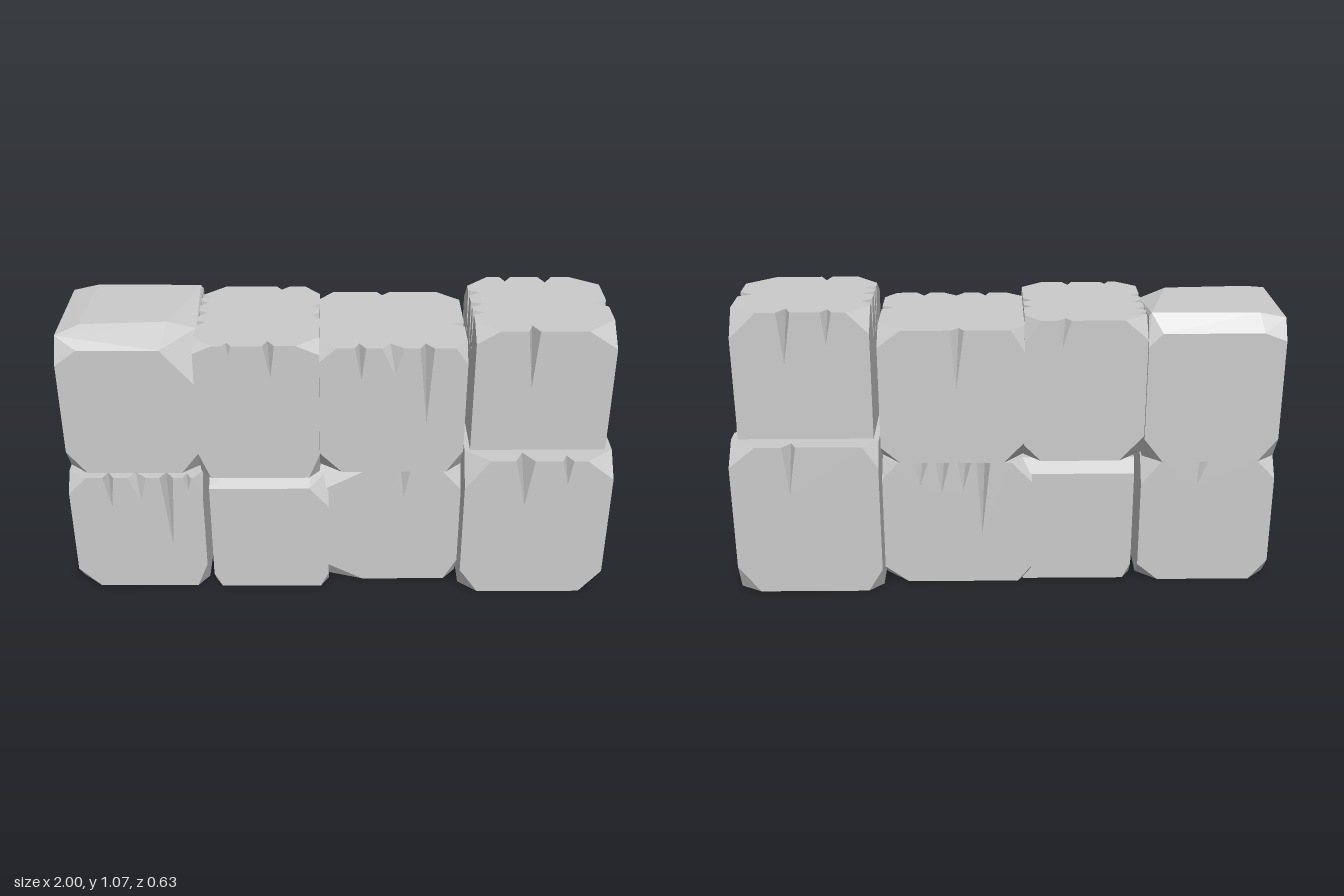
import * as THREE from 'three';
import { ConvexGeometry } from 'three/addons/geometries/ConvexGeometry.js';

const material = () => new THREE.MeshStandardMaterial({ color: 0xcccccc, flatShading: true });
const SIDES = { front: [2, 1], back: [2, -1], right: [0, 1], left: [0, -1] };

// Corner keys: x side (- / +), y side, z side, e.g. '++-'
const keyOf = (s) => s.map((v) => (v > 0 ? '+' : '-')).join('');

// Box with chipped corners and V-shaped cracks running down from the top edges.
// cracks: [side, position along edge, width, tip height, inset into top]
function chippedBlock(name, lo, hi, seed, cuts, cracks) {
  const pos = [];
  let state = seed;
  const rand = () => (state = (state * 16807) % 2147483647) / 2147483647;
  for (let i = 0; i < 5; i++) rand();

  // Triangle turned so that its normal agrees with a given direction
  const tri = (a, b, c, dir) => {
    const n = b.clone().sub(a).cross(c.clone().sub(a));
    const order = n.dot(dir) < 0 ? [a, c, b] : [a, b, c];
    order.forEach((p) => pos.push(p.x, p.y, p.z));
  };
  const cornerPoint = (s) => new THREE.Vector3(...s.map((v, i) => (v > 0 ? hi[i] : lo[i])));

  // Corner chips
  const chip = {};
  for (const x of [-1, 1]) for (const y of [-1, 1]) for (const z of [-1, 1]) {
    const s = [x, y, z], k = keyOf(s);
    chip[k] = cuts[k] || [0.05 + rand() * 0.04, 0.06 + rand() * 0.04, 0.05 + rand() * 0.04];
  }
  const chipPoint = (s, axis) => {
    const p = cornerPoint(s);
    p.setComponent(axis, p.getComponent(axis) - s[axis] * chip[keyOf(s)][axis]);
    return p;
  };
  for (const x of [-1, 1]) for (const y of [-1, 1]) for (const z of [-1, 1]) {
    const s = [x, y, z];
    tri(chipPoint(s, 0), chipPoint(s, 1), chipPoint(s, 2), new THREE.Vector3(...s));
  }

  // Crack walls
  const notches = cracks.map(([side, at, w, tipY, inset = 0.04]) => {
    const [axis, sign] = SIDES[side], along = 2 - axis;
    const make = (t, y, depth) => {
      const p = new THREE.Vector3(0, y, 0);
      p.setComponent(along, t);
      p.setComponent(axis, (sign > 0 ? hi[axis] : lo[axis]) - sign * depth);
      return p;
    };
    const a = make(at - w / 2, hi[1], 0), b = make(at + w / 2, hi[1], 0);
    const tip = make(at + w * 0.12, tipY, 0), inner = make(at - w * 0.1, hi[1], inset);
    const mid = a.clone().add(b).multiplyScalar(0.5);
    tri(a, inner, tip, mid.clone().sub(a));
    tri(b, inner, tip, mid.clone().sub(b));
    return { axis, sign, at, a, b, tip, inner };
  });

  // Six faces, outlined through chips and cracks
  for (let axis = 0; axis < 3; axis++) for (const sign of [-1, 1]) {
    const u = (axis + 1) % 3, v = (axis + 2) % 3;
    const corners = [[-1, -1], [1, -1], [1, 1], [-1, 1]].map(([su, sv]) => {
      const s = [0, 0, 0];
      s[axis] = sign; s[u] = su; s[v] = sv;
      return s;
    });
    const outline = [];
    corners.forEach((s, i) => {
      const t = corners[(i + 1) % 4];
      const d = s[u] !== t[u] ? u : v, o = 2 - d;
      outline.push(chipPoint(s, d));
      if (d !== 1 && s[1] > 0) {
        notches.filter((n) => n.axis === o && n.sign === s[o])
          .sort((m, n) => (m.at - n.at) * t[d])
          .forEach((n) => {
            const middle = axis === 1 ? n.inner : n.tip;
            outline.push(...(t[d] > 0 ? [n.a, middle, n.b] : [n.b, middle, n.a]));
          });
      }
      outline.push(chipPoint(t, d));
    });
    const flat = outline.map((p) => new THREE.Vector2(p.getComponent(u), p.getComponent(v)));
    const normal = new THREE.Vector3().setComponent(axis, sign);
    THREE.ShapeUtils.triangulateShape(flat, [])
      .forEach(([a, b, c]) => tri(outline[a], outline[b], outline[c], normal));
  }
  const geometry = new THREE.BufferGeometry();
  geometry.setAttribute('position', new THREE.Float32BufferAttribute(pos, 3));
  geometry.computeVertexNormals();
  const mesh = new THREE.Mesh(geometry, material());
  mesh.name = name;
  return mesh;
}

// Block with a worn, bevelled top, as the hull of its corners
function wornBlock(name, points) {
  const geometry = new ConvexGeometry(points.map((p) => new THREE.Vector3(...p)));
  const mesh = new THREE.Mesh(geometry, material());
  mesh.name = name;
  return mesh;
}

// Lower corners of a worn block, each chipped by [dx, dy, dz]
function chippedBase(x0, x1, y, z0, z1, [dx, dy, dz]) {
  const out = [];
  for (const [x, sx] of [[x0, 1], [x1, -1]]) for (const [z, sz] of [[z0, 1], [z1, -1]])
    out.push([x + sx * dx, y, z], [x, y + dy, z], [x, y, z + sz * dz]);
  return out;
}

export function createModel() {
  const wall = new THREE.Group();
  wall.name = 'stoneWall';

  // Lower course
  wall.add(
    chippedBlock('lowerBlock1', [-1, 0, -0.24], [-0.505, 0.495, 0.275], 11,
      { '--+': [0.08, 0.08, 0.07], '+-+': [0.04, 0.1, 0.06], '-++': [0.07, 0.07, 0.05], '+++': [0.03, 0.08, 0.05] },
      [['front', -0.85, 0.04, 0.37], ['front', -0.745, 0.07, 0.39], ['front', -0.635, 0.05, 0.19],
        ['front', -0.56, 0.03, 0.44, 0.03], ['left', -0.03, 0.04, 0.34], ['left', 0.09, 0.05, 0.38], ['back', -0.72, 0.06, 0.4]]),
    wornBlock('lowerBlock2', [
      ...chippedBase(-0.48, -0.04, 0, -0.225, 0.28, [0.03, 0.06, 0.05]),
      [-0.48, 0.45, 0.28], [-0.11, 0.45, 0.28], [-0.04, 0.37, 0.28], [-0.04, 0.47, 0.18],
      [-0.4, 0.495, 0.2], [-0.11, 0.495, 0.2], [-0.48, 0.49, 0.2],
      [-0.48, 0.495, -0.2], [-0.06, 0.495, -0.2], [-0.48, 0.44, -0.225], [-0.04, 0.44, -0.225]]),
    chippedBlock('lowerBlock3', [-0.1, 0, -0.245], [0.455, 0.495, 0.235], 23,
      { '+-+': [0.05, 0.09, 0.06], '+++': [0.07, 0.08, 0.06], '-++': [0.19, 0.1, 0.06], '--+': [0.19, 0.1, 0.06] },
      [['front', 0.235, 0.06, 0.385], ['back', 0.31, 0.05, 0.4], ['back', 0.23, 0.05, 0.37],
        ['back', 0.15, 0.05, 0.38], ['back', 0.08, 0.05, 0.2]]),
    chippedBlock('lowerBlock4', [0.46, 0, -0.315], [1, 0.59, 0.315], 37,
      { '+-+': [0.08, 0.095, 0.105], '+--': [0.08, 0.105, 0.045], '+++': [0.1, 0.08, 0.08], '++-': [0.1, 0.08, 0.08],
        '-++': [0.09, 0.12, 0.08], '--+': [0.07, 0.1, 0.06] },
      [['front', 0.675, 0.07, 0.4, 0.06], ['front', 0.83, 0.04, 0.49], ['right', 0.125, 0.04, 0.435],
        ['right', -0.015, 0.08, 0.455], ['right', -0.15, 0.04, 0.23], ['back', 0.78, 0.05, 0.4]]),
  );

  // Upper course
  wall.add(
    wornBlock('upperBlock1', [
      ...chippedBase(-1, -0.51, 0.495, -0.245, 0.24, [0.07, 0.09, 0.06]),
      [-0.92, 1.055, 0.14], [-0.61, 1.055, 0.12], [-0.52, 1.055, -0.2], [-0.905, 1.055, -0.205],
      [-1, 1.035, 0.19], [-1, 1.035, -0.2], [-1, 0.94, 0.24], [-0.92, 1, 0.24], [-0.63, 1, 0.24],
      [-0.51, 0.86, 0.24], [-0.51, 1.02, 0.1], [-0.51, 1.04, -0.2],
      [-0.92, 0.99, -0.245], [-1, 0.96, -0.245], [-0.56, 0.99, -0.245], [-0.51, 0.94, -0.245]]),
    chippedBlock('upperBlock2', [-0.51, 0.495, -0.23], [-0.07, 1.035, 0.275], 41,
      { '+++': [0.08, 0.035, 0.07], '-++': [0.07, 0.03, 0.06], '--+': [0.04, 0.1, 0.05], '+-+': [0.04, 0.1, 0.05] },
      [['front', -0.39, 0.03, 0.995, 0.03], ['front', -0.245, 0.04, 0.91], ['back', -0.21, 0.05, 0.93, 0.03],
        ['left', -0.14, 0.03, 0.95, 0.03], ['left', -0.08, 0.04, 0.9, 0.03], ['left', 0.01, 0.05, 0.92, 0.03],
        ['left', 0.09, 0.04, 0.9, 0.03], ['right', -0.05, 0.04, 0.9, 0.03], ['right', 0.03, 0.05, 0.9, 0.03]]),
    chippedBlock('upperBlock3', [-0.07, 0.495, -0.245], [0.455, 1.005, 0.235], 53,
      { '+++': [0.045, 0.065, 0.06], '-++': [0.06, 0.055, 0.05], '--+': [0.08, 0.08, 0.06], '+-+': [0.06, 0.09, 0.06] },
      [['front', 0.075, 0.04, 0.88], ['front', 0.19, 0.08, 0.9], ['front', 0.31, 0.05, 0.7],
        ['right', 0.04, 0.04, 0.85], ['back', 0.17, 0.05, 0.78, 0.03]]),
    chippedBlock('upperBlock4', [0.48, 0.54, -0.235], [0.975, 1.07, 0.235], 67,
      { '+++': [0.105, 0.07, 0.095], '-++': [0.08, 0.05, 0.09], '++-': [0.1, 0.095, 0.07], '-+-': [0.08, 0.08, 0.08],
        '---': [0.02, 0.02, 0.02], '--+': [0.02, 0.02, 0.02], '+--': [0.02, 0.02, 0.02], '+-+': [0.02, 0.02, 0.02] },
      [['front', 0.68, 0.04, 0.845, 0.05], ['right', 0, 0.06, 0.94, 0.05], ['back', 0.63, 0.04, 0.95],
        ['back', 0.78, 0.05, 0.88, 0.05], ['left', -0.09, 0.05, 0.9], ['left', 0.01, 0.04, 0.88], ['left', 0.08, 0.04, 0.92]]),
  );
  return wall;
}
